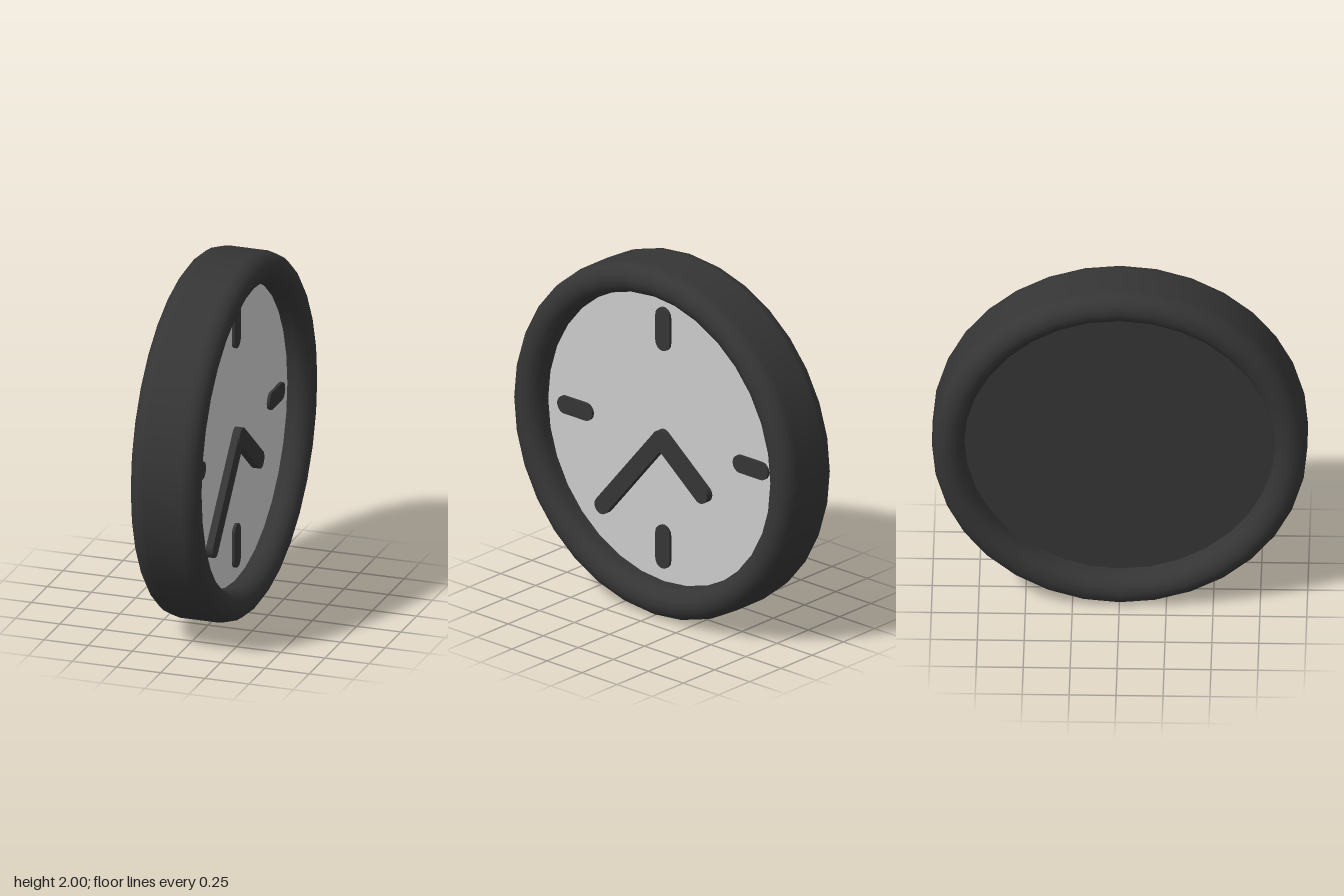
import * as THREE from 'three';

const DARK = new THREE.MeshStandardMaterial({ color: 0x353535 });
const GREY = new THREE.MeshStandardMaterial({ color: 0xcccccc });
const SIDES = 32;

// Closed rounded section of the rim: x is radius, y is depth
function rimGeometry(inner, outer, halfDepth) {
  const r = (outer - inner) / 2, mid = inner + r, straight = halfDepth - r;
  const points = [new THREE.Vector2(outer, -straight)];
  for (const [cy, start] of [[straight, 0], [-straight, Math.PI]]) {
    for (let i = 0; i <= 8; i++) {
      const a = start + (i / 8) * Math.PI;
      points.push(new THREE.Vector2(mid + r * Math.cos(a), cy + r * Math.sin(a)));
    }
  }
  return new THREE.LatheGeometry(points, SIDES).rotateX(Math.PI / 2);
}

// Flat disc between two depths
function discGeometry(radius, back, front) {
  return new THREE.CylinderGeometry(radius, radius, front - back, SIDES)
    .rotateX(Math.PI / 2)
    .translate(0, 0, (front + back) / 2);
}

// Round-ended bar along +x from one end centre to the other
function barGeometry(from, to, radius, back, front) {
  const shape = new THREE.Shape();
  shape.absarc(to, 0, radius, -Math.PI / 2, Math.PI / 2, false);
  shape.absarc(from, 0, radius, Math.PI / 2, Math.PI * 1.5, false);
  shape.closePath();
  return new THREE.ExtrudeGeometry(shape, { depth: front - back, bevelEnabled: false, curveSegments: 10 })
    .translate(0, 0, back);
}

export function createModel() {
  const model = new THREE.Group();
  model.name = 'wallClock';

  // Built facing +z around its centre, then turned to face +x
  const clock = new THREE.Group();
  clock.name = 'clock';
  clock.position.y = 1;
  clock.rotation.y = Math.PI / 2;
  model.add(clock);

  const add = (name, geometry, material, angle = 0) => {
    const mesh = new THREE.Mesh(geometry, material);
    mesh.name = name;
    mesh.rotation.z = angle;
    clock.add(mesh);
  };

  add('rim', rimGeometry(0.828, 1, 0.195), DARK);
  add('backPlate', discGeometry(0.835, -0.065, 0.03), DARK);
  add('dial', discGeometry(0.835, 0.03, 0.062), GREY);

  // Quarter-hour markers
  const marker = barGeometry(0.552, 0.7, 0.05, 0.055, 0.078);
  for (let i = 0; i < 4; i++) add('hourMarker' + i, marker, DARK, (i * Math.PI) / 2);

  // Hands
  add('hourHand', barGeometry(0, 0.38, 0.048, 0.055, 0.106), DARK, Math.atan2(-0.24, 0.295));
  add('minuteHand', barGeometry(0, 0.645, 0.048, 0.055, 0.102), DARK, Math.atan2(-0.495, -0.415));

  return model;
}
